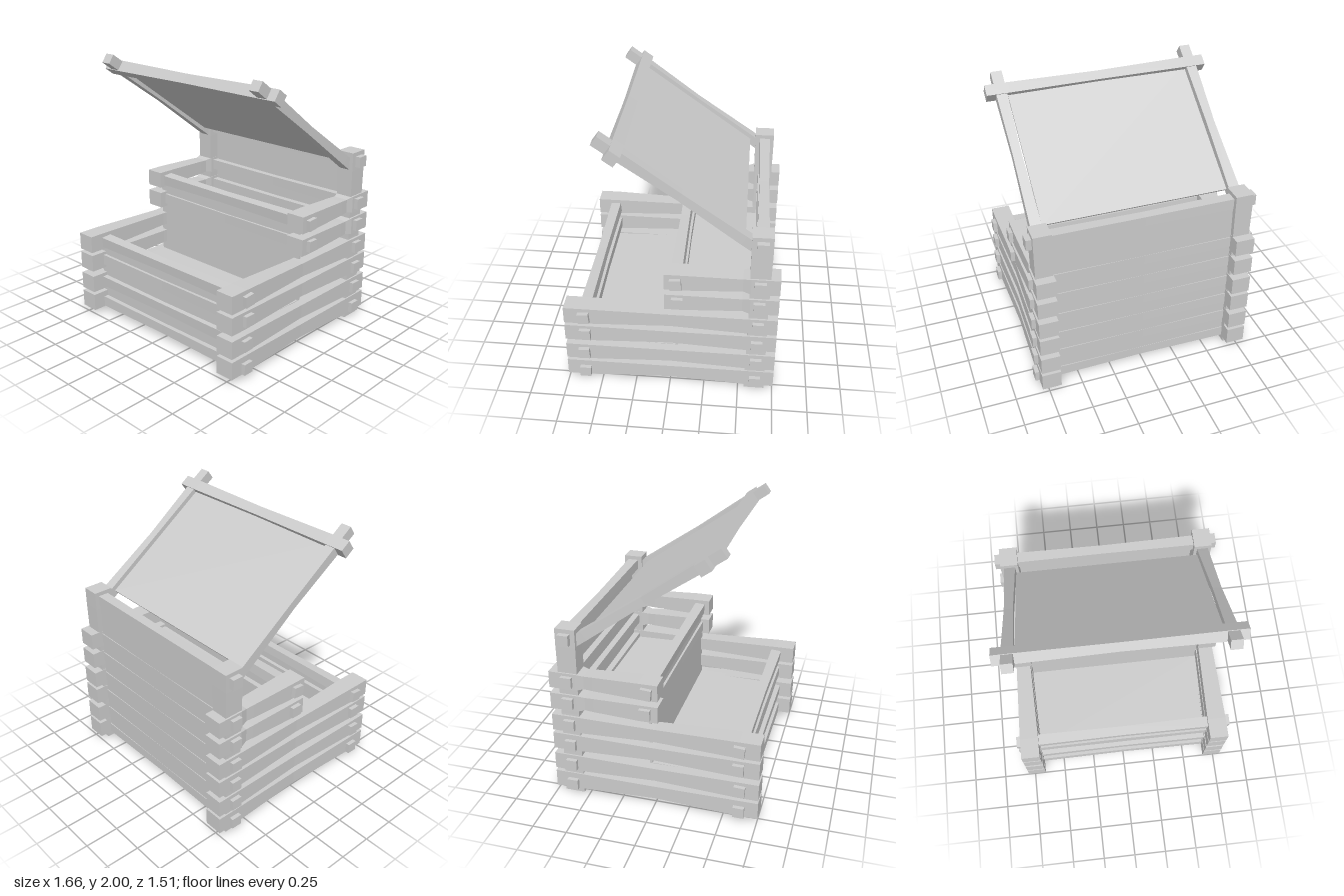
import * as THREE from 'three';

const material = new THREE.MeshStandardMaterial({ color: 0xcccccc, flatShading: true });

// Waist profiles: [position along the timber from -1 to 1, cross-section scale]
const LONG = [[-1, 1], [-0.8, 1], [0, 0.78], [0.8, 1], [1, 1]];
const RAIL = [[-1, 1], [-0.8, 1], [0, 0.86], [0.8, 1], [1, 1]];
const SHORT = [[-1, 1], [-0.5, 1], [-0.36, 0.8], [-0.2, 0.85], [0.65, 1], [1, 1]];
const POST = [[-1, 1], [-0.8, 1], [0, 0.92], [0.8, 1], [1, 1]];

// Hewn timber along z, thinner where its profile says so
function timber(name, width, height, length, profile) {
  const n = profile.length - 1;
  const geometry = new THREE.BoxGeometry(width, height, length, 1, 1, n);
  const p = geometry.attributes.position;
  for (let i = 0; i < p.count; i++) {
    const [u, s] = profile[Math.round((p.getZ(i) / length + 0.5) * n)];
    p.setXYZ(i, p.getX(i) * s, p.getY(i) * s, u * length / 2);
  }
  geometry.computeVertexNormals();
  const mesh = new THREE.Mesh(geometry, material);
  mesh.name = name;
  return mesh;
}

// Flat board given by its lower and upper corners
function board(name, [x0, y0, z0], [x1, y1, z1]) {
  const mesh = new THREE.Mesh(new THREE.BoxGeometry(x1 - x0, y1 - y0, z1 - z0), material);
  mesh.name = name;
  mesh.position.set((x0 + x1) / 2, (y0 + y1) / 2, (z0 + z1) / 2);
  return mesh;
}

// Cross rail along x, slightly twisted
function crossRail(name, y, z, twist = 0, size = 0.08) {
  const mesh = timber(name, size, size, 1.66, RAIL);
  mesh.rotation.order = 'XYZ';
  mesh.rotation.set(twist, Math.PI / 2, 0);
  mesh.position.set(0, y, z);
  return mesh;
}

export function createModel() {
  const model = new THREE.Group();
  model.name = 'timberChest';

  for (const side of [-1, 1]) {
    // Rear corner posts
    const post = timber('rearPost', 0.13, 0.145, 1.33, POST);
    post.rotation.x = -Math.PI / 2;
    post.position.set(side * 0.725, 0.665, -0.618);
    model.add(post);

    // Long side beams of the low box
    for (const y of [0.1, 0.255, 0.43, 0.585]) {
      const beam = timber('lowerSideBeam', 0.14, 0.13, 1.51, LONG);
      beam.position.set(side * 0.73, y, 0);
      model.add(beam);
    }
    // Short side beams of the raised rear box
    for (const y of [0.763, 0.933]) {
      const beam = timber('upperSideBeam', 0.14, 0.125, 0.79, SHORT);
      beam.position.set(side * 0.73, y, -0.36);
      model.add(beam);
    }
  }

  // Cross rails: [height, depth, twist]
  const rear = [0.08, 0.25, 0.415, 0.585, 0.765, 0.935, 1.26];
  for (const y of rear) model.add(crossRail('rearRail', y, -0.62));
  const front = [[0.08, 0.62, 0], [0.255, 0.62, 0.05], [0.432, 0.607, 0], [0.58, 0.61, 0.08]];
  for (const [y, z, twist] of front) model.add(crossRail('frontRail', y, z, twist));
  model.add(crossRail('middleRail', 0.765, -0.055));
  model.add(crossRail('middleRail', 0.927, -0.045, 0.08));

  // Wall boards and floors
  model.add(
    board('frontPanel', [-0.7, 0.08, 0.603], [0.7, 0.58, 0.623]),
    board('middlePanel', [-0.72, 0.3, -0.055], [0.72, 0.92, -0.035]),
    board('backPanel', [-0.7, 0.08, -0.653], [0.7, 1.27, -0.633]),
    board('frontFloor', [-0.72, 0.29, -0.05], [0.72, 0.31, 0.61]),
    board('rearFloor', [-0.72, 0.57, -0.652], [0.72, 0.59, -0.05]),
  );

  // Open lid, built flat with its rear end at the origin, then tilted
  const lid = new THREE.Group();
  lid.name = 'lid';
  for (const side of [-1, 1]) {
    const rail = timber('lidSideRail', 0.08, 0.075, 1.31, LONG);
    rail.position.set(side * 0.723, 0, 0.655);
    lid.add(rail);
  }
  const lidRail = crossRail('lidFrontRail', 0, 1.166, 0, 0.085);
  lid.add(lidRail, board('lidPanel', [-0.677, -0.008, 0.125], [0.677, 0.008, 1.166]));
  lid.position.set(0, 1.207, -0.6);
  lid.rotation.x = -0.62;
  model.add(lid);

  return model;
}
